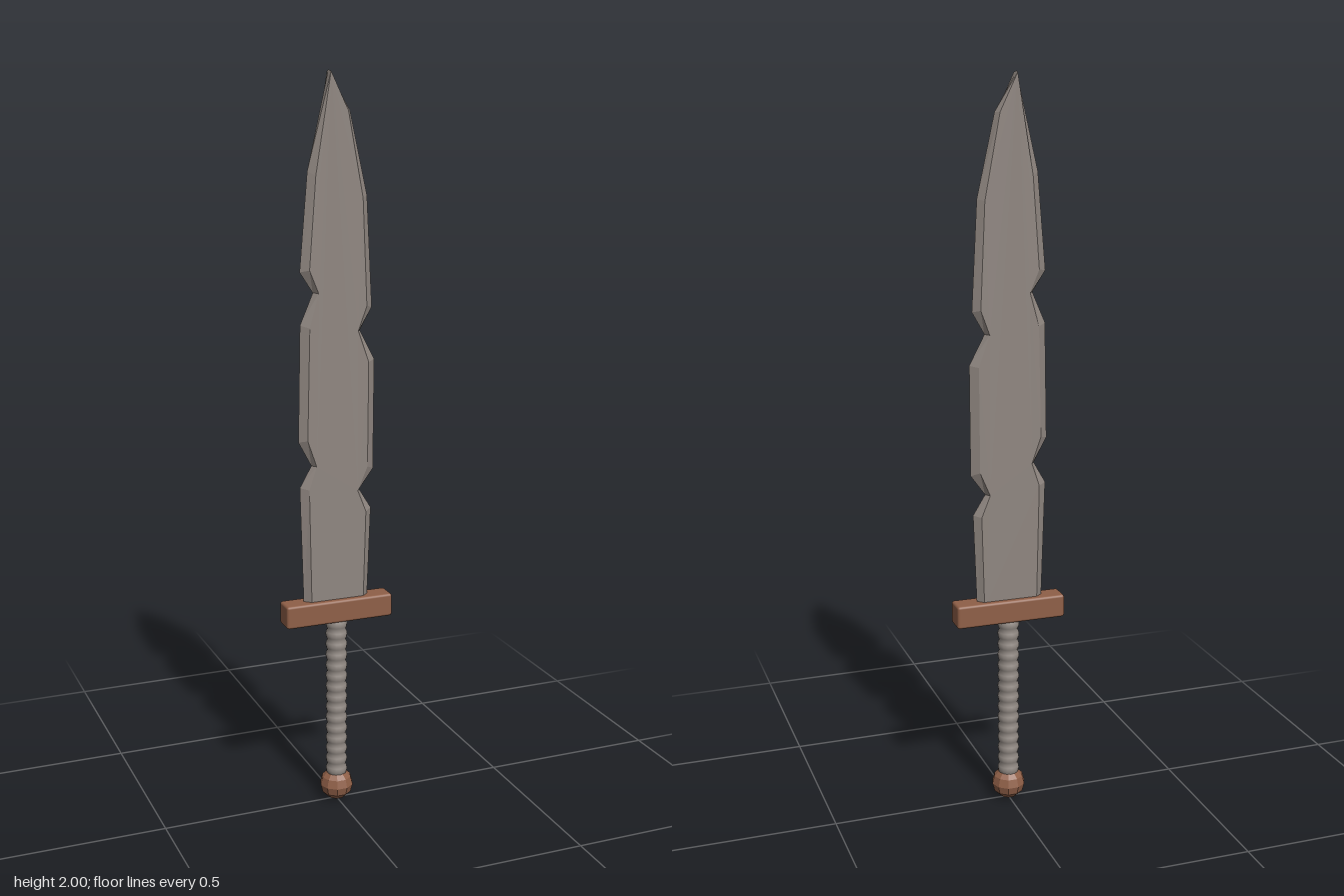
import * as THREE from 'three';
import { RoundedBoxGeometry } from 'three/addons/geometries/RoundedBoxGeometry.js';

const steel = new THREE.MeshStandardMaterial({ color: 0x8f8680, name: 'steel grey', flatShading: true });
const wrap = new THREE.MeshStandardMaterial({ color: 0x938b85, name: 'wrap grey' });
const bronze = new THREE.MeshStandardMaterial({ color: 0x8f5f47, name: 'bronze brown' });
const bronzeFlat = bronze.clone();
bronzeFlat.flatShading = true;

// Notched blade: [edge x, edge y, flat x, flat y], anticlockwise from lower right
const outline = [
  [0.09, 0.58, 0.073, 0.58],
  [0.1, 0.845, 0.08, 0.84],
  [0.066, 0.9, 0.056, 0.9],
  [0.106, 0.955, 0.084, 0.965],
  [0.108, 1.255, 0.086, 1.25],
  [0.066, 1.335, 0.056, 1.335],
  [0.1, 1.395, 0.08, 1.4],
  [0.085, 1.685, 0.068, 1.68],
  [0.037, 1.9, 0.027, 1.9],
  [-0.022, 2.0, -0.02, 1.997],
  [-0.08, 1.75, -0.062, 1.74],
  [-0.102, 1.495, -0.08, 1.5],
  [-0.066, 1.44, -0.055, 1.44],
  [-0.102, 1.357, -0.08, 1.35],
  [-0.108, 1.045, -0.087, 1.05],
  [-0.072, 0.978, -0.062, 0.978],
  [-0.105, 0.92, -0.083, 0.915],
  [-0.095, 0.58, -0.077, 0.58],
];

function bladeGeometry(halfThickness) {
  const n = outline.length;
  const positions = [];
  const index = [];
  // rings: front flat, cutting edge, back flat
  for (const [ex, ey, fx, fy] of outline) {
    positions.push(fx, fy, halfThickness, ex, ey, 0, fx, fy, -halfThickness);
  }
  const flat = outline.map(p => new THREE.Vector2(p[2], p[3]));
  for (const [a, b, c] of THREE.ShapeUtils.triangulateShape(flat, [])) {
    index.push(a * 3, b * 3, c * 3, c * 3 + 2, b * 3 + 2, a * 3 + 2);
  }
  for (let i = 0; i < n; i++) {
    const a = i * 3, b = ((i + 1) % n) * 3;
    for (let k = 0; k < 2; k++) {
      index.push(a + k, a + k + 1, b + k + 1, a + k, b + k + 1, b + k);
    }
  }
  const geometry = new THREE.BufferGeometry();
  geometry.setAttribute('position', new THREE.Float32BufferAttribute(positions, 3));
  geometry.setIndex(index);
  const faceted = geometry.toNonIndexed();
  faceted.computeVertexNormals();
  return faceted;
}

// Grip profile: a stack of rounded wrap rings
function gripGeometry(y0, y1, rings) {
  const points = [];
  const steps = 4;
  for (let i = 0; i <= rings * steps; i++) {
    const t = i / (rings * steps);
    const bulge = Math.abs(Math.sin(t * rings * Math.PI));
    points.push(new THREE.Vector2(0.0255 + 0.0045 * bulge, y0 + (y1 - y0) * t));
  }
  return new THREE.LatheGeometry(points, 16);
}

export function createModel() {
  const sword = new THREE.Group();
  sword.name = 'sword';
  const add = (name, geometry, material, y = 0) => {
    const mesh = new THREE.Mesh(geometry, material);
    mesh.name = name;
    mesh.position.y = y;
    sword.add(mesh);
    return mesh;
  };

  add('blade', bladeGeometry(0.015), steel);
  add('guard', new RoundedBoxGeometry(0.308, 0.064, 0.061, 2, 0.007), bronze, 0.567);
  add('grip', gripGeometry(0.075, 0.54, 15), wrap);
  add('pommel', new THREE.SphereGeometry(0.047, 10, 6), bronzeFlat, 0.045).scale.y = 0.957;
  return sword;
}
